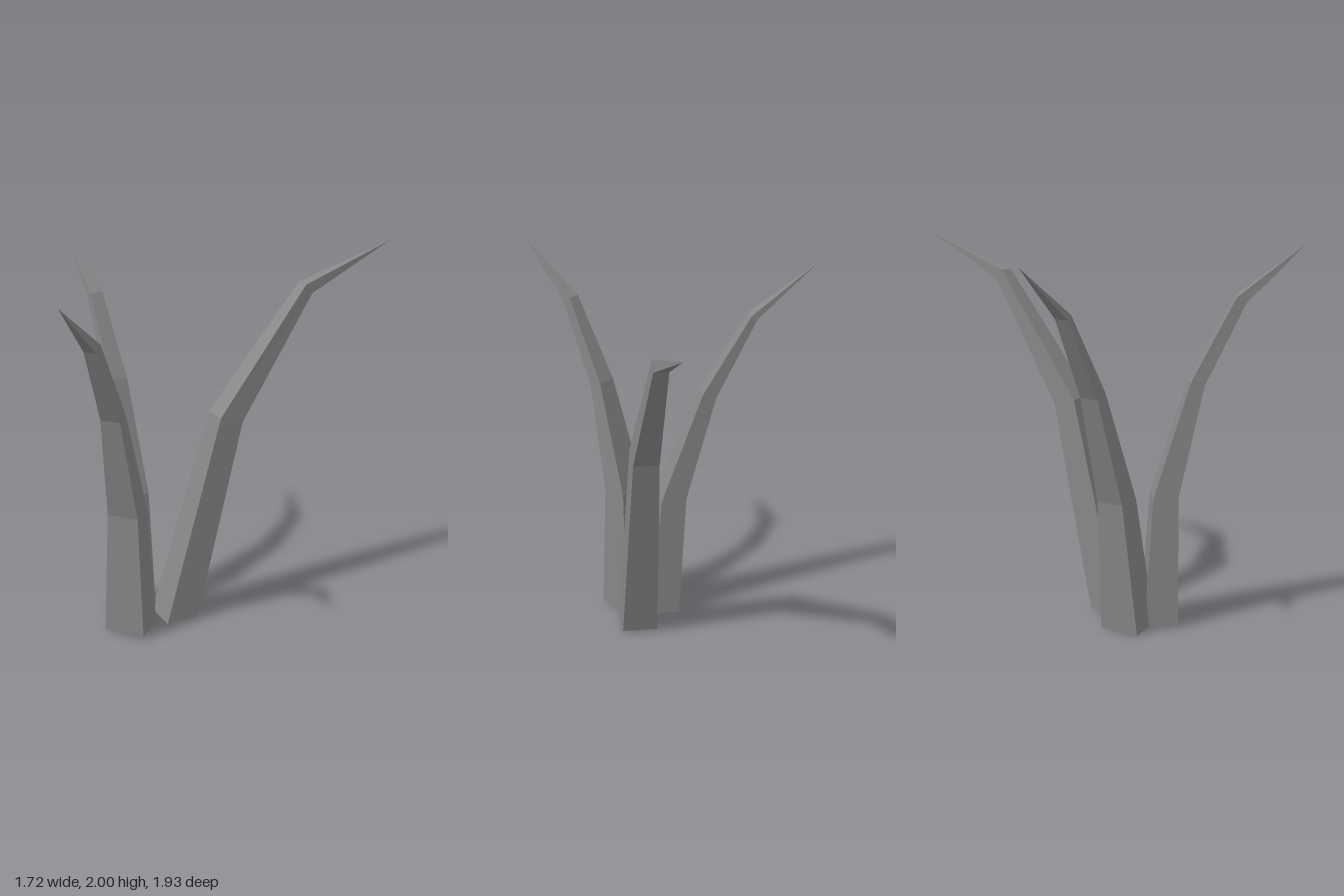
import * as THREE from 'three';

const material = new THREE.MeshStandardMaterial({ color: 0x868686, flatShading: true });

// Four-sided blade that bends outward along a heading and ends in a point.
// Each ring: [inner reach, inner y, outer reach, outer y, half width, sideways shift]
// tip: [reach, y, sideways shift]
function blade(name, [ox, oz], [hx, hz], rings, tip) {
  const len = Math.hypot(hx, hz);
  const dx = hx / len, dz = hz / len;
  const at = (reach, y, side) => [ox + dx * reach - dz * side, y, oz + dz * reach + dx * side];

  const loops = rings.map(([ri, yi, ro, yo, w, shift = 0]) => [
    at(ri, yi, shift - w), at(ri, yi, shift + w),
    at(ro, yo, shift + w), at(ro, yo, shift - w),
  ]);
  const point = at(...tip);

  const pos = [];
  const tri = (a, b, c) => pos.push(...a, ...b, ...c);
  const quad = (a, b, c, d) => { tri(a, b, c); tri(a, c, d); };

  // sides, then the pointed end
  for (let i = 0; i < loops.length; i++) {
    const low = loops[i], high = loops[i + 1];
    for (let k = 0; k < 4; k++) {
      const n = (k + 1) % 4;
      if (high) quad(low[k], low[n], high[n], high[k]);
      else tri(low[k], low[n], point);
    }
  }
  // underside
  const [a, b, c, d] = loops[0];
  quad(d, c, b, a);

  const geometry = new THREE.BufferGeometry();
  geometry.setAttribute('position', new THREE.Float32BufferAttribute(pos, 3));
  geometry.computeVertexNormals();
  const mesh = new THREE.Mesh(geometry, material);
  mesh.name = name;
  return mesh;
}

export function createModel() {
  const group = new THREE.Group();
  group.name = 'plant';

  // upright leaf leaning forward
  group.add(blade('frontLeaf', [-0.163, 0], [0, 1], [
    [0.135, 0.015, 0.31, 0.015, 0.112],
    [0.18, 0.70, 0.31, 0.70, 0.085],
    [0.37, 1.30, 0.44, 1.28, 0.053],
    [0.60, 1.73, 0.65, 1.70, 0.033],
  ], [0.96, 2, 0]));

  // long leaf leaning to the back left
  group.add(blade('leftLeaf', [0.003, 0], [0.66, -0.75], [
    [-0.092, 0.015, 0.092, 0.015, 0.095, 0.004],
    [0.231, 1.15, 0.363, 1.11, 0.067, 0.013],
    [0.746, 1.80, 0.787, 1.75, 0.037, 0.01],
  ], [1.295, 1.97, 0.004]));

  // leaf leaning to the back right
  group.add(blade('rightLeaf', [-0.24, 0.043], [-0.8, -0.6], [
    [-0.092, 0.015, 0.082, 0.002, 0.11, -0.004],
    [-0.021, 0.70, 0.115, 0.70, 0.074, 0.031],
    [0.198, 1.295, 0.27, 1.27, 0.05, 0.053],
    [0.454, 1.71, 0.486, 1.69, 0.036, 0.064],
  ], [0.822, 1.97, 0.062]));

  return group;
}
